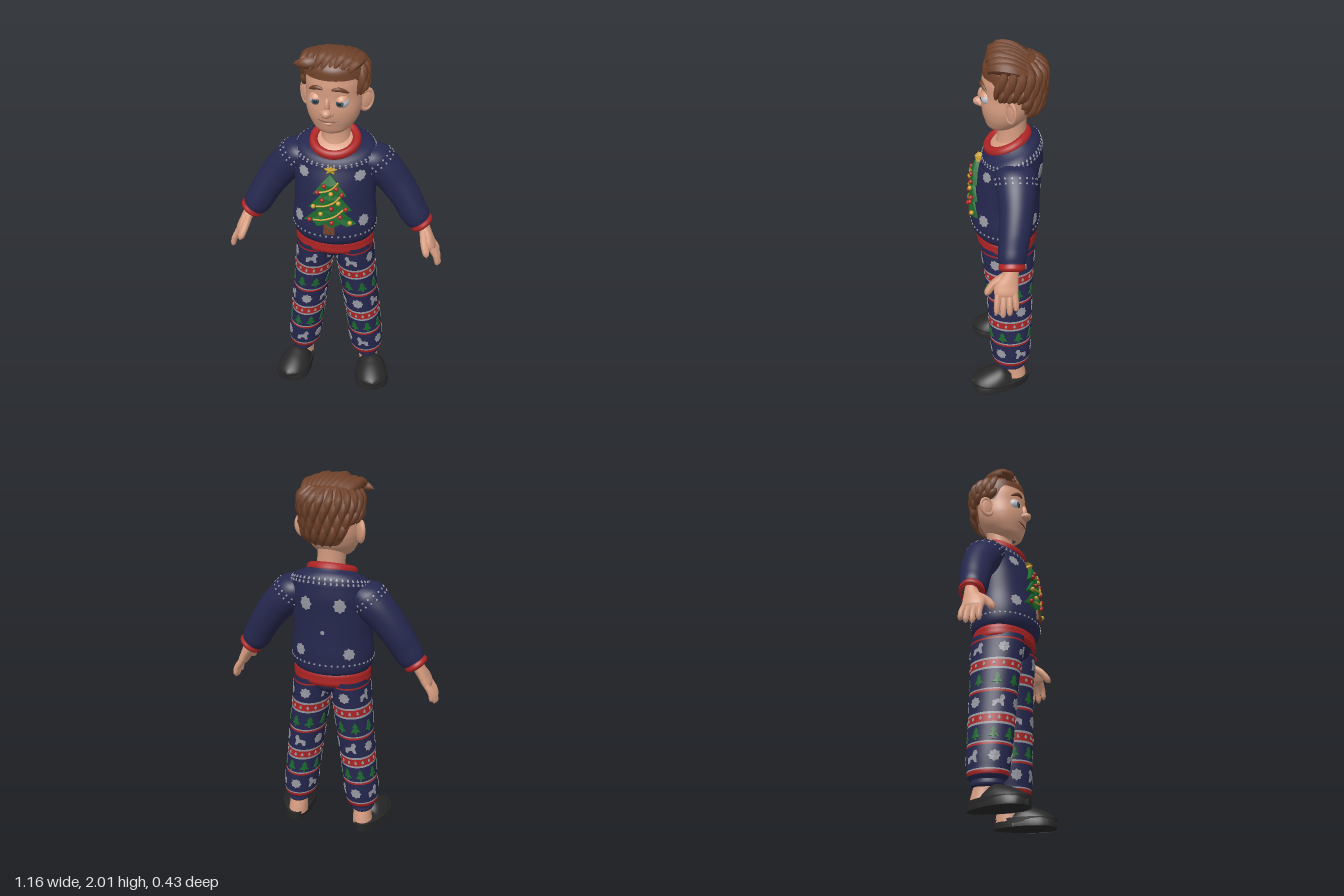
import * as THREE from 'three';
import { mergeGeometries } from 'three/addons/utils/BufferGeometryUtils.js';

const { PI, cos, sin, acos, sqrt, max } = Math;
const V = (x, y, z) => new THREE.Vector3(x, y, z);
const smooth = THREE.MathUtils.smoothstep;

const mat = (name, color, side = THREE.FrontSide) => {
  const m = new THREE.MeshStandardMaterial({ color, side });
  m.name = name;
  return m;
};

// Smooth surface through horizontal rings: [y, centreX, centreZ, radiusX, radiusZ, forwardTilt]
function surf(rows) {
  const f = new THREE.CubicInterpolant(rows.map(r => r[0]),
    rows.flatMap(r => [r[1], r[2], r[3], r[4], r[5] || 0]), 5, new Float32Array(5));
  const raw = (y, a) => {
    const [cx, cz, rx, rz, k] = f.evaluate(y);
    return V(cx + rx * cos(a), y - k * rz * sin(a), cz + rz * sin(a));
  };
  const e = 0.002;
  const normal = (y, a) => raw(y + e, a).sub(raw(y - e, a)).cross(raw(y, a + e).sub(raw(y, a - e))).normalize();
  const at = (y, a, d = 0) => raw(y, a).addScaledVector(normal(y, a), d);
  const stretch = (y, a) => raw(y, a + e).distanceTo(raw(y, a - e)) / (2 * e);
  return { at, normal, stretch, lo: rows[0][0], hi: rows[rows.length - 1][0] };
}

// Grid on a surface; the lower edge may vary with the angle
function patch(s, y0 = s.lo, y1 = s.hi, ny = 16, a0 = 0, a1 = 2 * PI, na = 40) {
  const pos = [], nor = [], idx = [];
  for (let i = 0; i <= ny; i++) for (let j = 0; j <= na; j++) {
    const a = a0 + (a1 - a0) * j / na, b = typeof y0 === 'function' ? y0(a) : y0;
    const y = b + (y1 - b) * i / ny;
    pos.push(...s.at(y, a).toArray());
    nor.push(...s.normal(y, a).toArray());
    if (i < ny && j < na) {
      const p = i * (na + 1) + j, q = p + na + 1;
      idx.push(p, q, p + 1, q, q + 1, p + 1);
    }
  }
  const g = new THREE.BufferGeometry();
  g.setAttribute('position', new THREE.Float32BufferAttribute(pos, 3));
  g.setAttribute('normal', new THREE.Float32BufferAttribute(nor, 3));
  return g.setIndex(idx);
}

// Plate wrapped onto a surface: a fan from its centre, with a rim down to the cloth
function decal(s, y, a, outline, sx, sy = sx, edge = 0.003, mid = edge) {
  const k = s.stretch(y, a), pos = [], put = (...v) => v.forEach(p => pos.push(p.x, p.y, p.z));
  const c = s.at(y, a, mid);
  const ring = d => outline.map(([u, v]) => s.at(y + v * sy, a - u * sx / k, d));
  const top = ring(edge), base = ring(0);
  outline.forEach((_, i) => {
    const j = (i + 1) % outline.length;
    put(c, top[i], top[j], top[i], base[i], top[j], base[i], base[j], top[j]);
  });
  const g = new THREE.BufferGeometry();
  g.setAttribute('position', new THREE.Float32BufferAttribute(pos, 3));
  g.computeVertexNormals();
  return g;
}

// Tapered tube through points
function taper(points, radius, n = 12, sides = 8) {
  const curve = new THREE.CatmullRomCurve3(points);
  const g = new THREE.TubeGeometry(curve, n, 1, sides), p = g.attributes.position;
  for (let i = 0; i < p.count; i++) {
    const t = Math.floor(i / (sides + 1)) / n, c = curve.getPointAt(t);
    const v = V().fromBufferAttribute(p, i).sub(c).multiplyScalar(radius(t)).add(c);
    p.setXYZ(i, v.x, v.y, v.z);
  }
  g.computeVertexNormals();
  return g;
}
const finger = r => t => r * (1 - 0.2 * t) * (t > 0.8 ? sqrt(max(0.0001, 1 - ((t - 0.8) / 0.2) ** 2)) : 1);
const lockShape = r => t => r * max(0.02, sin(PI * (0.12 + 0.88 * t)) ** 0.7);
const ball = (x, y, z, rx, ry = rx, rz = rx) => new THREE.SphereGeometry(1, 20, 14).scale(rx, ry, rz).translate(x, y, z);

const star = (n, inner) => Array.from({ length: 2 * n }, (_, i) => {
  const a = PI / 2 + PI * i / n, r = i % 2 ? inner : 1;
  return [r * cos(a), r * sin(a)];
});
const FLAKE = star(8, 0.78), DOT = star(3, 0.8), STAR = star(5, 0.5);
const TREE = [[0, 1], [-0.5, 0.1], [-1, -0.8], [-0.62, -0.7], [-0.4, -1], [-0.12, -0.75], [0.12, -1],
  [0.42, -0.72], [0.65, -0.95], [1, -0.8], [0.5, 0.1]];
const SMALLTREE = [[0, 1], [-0.5, 0.3], [-0.3, 0.2], [-0.9, -0.6], [-0.2, -0.6], [-0.2, -1], [0.2, -1],
  [0.2, -0.6], [0.9, -0.6], [0.3, 0.2], [0.5, 0.3]];
const DEER = [[-0.9, -0.9], [-0.5, -0.9], [-0.3, -0.4], [0.3, -0.4], [0.5, -0.9], [0.9, -0.9], [0.9, 0],
  [0.3, 0.2], [-0.2, 0.2], [-0.3, 0.9], [-0.7, 1], [-1, 0.5], [-0.7, 0.1]];

export function createModel() {
  const navy = mat('navy cloth', 0x26284f), red = mat('red knit', 0xae2424), green = mat('tree green', 0x1d6b30),
    silver = mat('silver grey', 0x9a9aa4), skin = mat('skin', 0xd69c80), hairMat = mat('brown hair', 0x70422a),
    black = mat('shoe black', 0x282828, THREE.DoubleSide), gold = mat('gold', 0xc9a030),
    white = mat('eye white', 0xc4c8cf), irisMat = mat('iris', 0x4a5866);
  const model = new THREE.Group();
  const group = (name, parent = model) => { const g = new THREE.Group(); g.name = name; parent.add(g); return g; };
  const add = (parent, name, geo, m) => {
    const mesh = new THREE.Mesh(Array.isArray(geo) ? mergeGeometries(geo) : geo, m);
    mesh.name = name;
    parent.add(mesh);
    return mesh;
  };
  const around = (n, fn) => Array.from({ length: n }, (_, i) => fn(2 * PI * (i + 0.5) / n, i));

  // Sweater body, hem and collar
  const torso = surf([[0.955, 0, -0.01, 0.185, 0.145], [0.985, 0, -0.005, 0.212, 0.172], [1.05, 0, -0.002, 0.223, 0.183],
    [1.18, 0, -0.01, 0.214, 0.176], [1.3, 0, -0.02, 0.215, 0.17, 0.02], [1.41, 0, -0.035, 0.215, 0.16, 0.15],
    [1.485, 0, -0.03, 0.185, 0.138, 0.35], [1.508, 0, -0.015, 0.12, 0.108, 0.42]]);
  const sweater = group('sweater');
  add(sweater, 'sweaterBody', patch(torso, torso.lo, torso.hi, 30, 0, 2 * PI, 56), navy);
  add(sweater, 'hem', patch(surf([[0.9, 0, -0.01, 0.195, 0.148], [0.912, 0, -0.01, 0.208, 0.16],
    [0.945, 0, -0.01, 0.211, 0.163], [0.975, 0, -0.01, 0.206, 0.16], [0.99, 0, -0.01, 0.19, 0.148]])), red);
  const collar = add(sweater, 'collar', new THREE.TorusGeometry(0.11, 0.024, 10, 40).rotateX(PI / 2).scale(1, 1.15, 0.98), red);
  collar.position.set(0, 1.507, -0.014);
  collar.rotation.x = 0.4;

  // Knitted flakes and dotted rows
  const side = x => acos(x / 0.218);
  const flakes = [];
  for (const x of [-1, 1]) {
    flakes.push(decal(torso, 1.38, side(x * 0.145), FLAKE, 0.035), decal(torso, 1.115, side(x * 0.168), FLAKE, 0.034));
    flakes.push(decal(torso, 1.36, -side(x * 0.09), FLAKE, 0.035), decal(torso, 1.1, -side(x * 0.13), FLAKE, 0.034));
  }
  flakes.push(decal(torso, 1.22, -PI / 2, FLAKE, 0.012));
  for (const y of [1.035, 1.45, 1.465]) flakes.push(...around(44, a => decal(torso, y, a, DOT, 0.0065)));
  add(sweater, 'sweaterFlakes', flakes, silver);

  // Raised tree with garlands, ornaments and star
  const tree = group('tree', sweater);
  add(tree, 'trunk', decal(torso, 1.085, PI / 2, [[-1, -1], [1, -1], [1, 1], [-1, 1]], 0.028, 0.03, 0.012), hairMat);
  [[1.175, 0.137, 0.078, 0.014], [1.255, 0.11, 0.075, 0.02], [1.335, 0.082, 0.07, 0.024]].forEach(([y, w, h, d], i) => {
    add(tree, 'treeTier', decal(torso, y, PI / 2, TREE, w, h, d, d + 0.01), green);
    add(tree, 'garland', taper([-0.55, -0.2, 0.2, 0.5].map((u, k) =>
      torso.at(y - h * (0.55 - 0.1 * k * k), side(u * w), d + 0.009)), () => 0.005, 16, 6), gold);
    const spots = [[-0.7, -0.62], [-0.3, -0.05], [0.1, -0.62], [0.4, -0.2], [0.72, -0.66]];
    spots.forEach(([u, v], k) => {
      const p = torso.at(y + v * h, side(u * w), d + 0.006);
      add(tree, 'ornament', ball(p.x, p.y, p.z, 0.012), (k + i) % 3 === 1 ? gold : red);
    });
  });
  add(tree, 'star', decal(torso, 1.432, PI / 2, STAR, 0.034, 0.034, 0.018, 0.034), gold);

  // Neck
  add(model, 'neck', patch(surf([[1.46, 0, -0.025, 0.09, 0.08], [1.53, 0, -0.036, 0.075, 0.074],
    [1.6, -0.004, -0.038, 0.073, 0.072], [1.67, -0.006, -0.038, 0.075, 0.075]])), skin);
  const base = add(model, 'neckBase', ball(0, 0, 0, 0.105, 0.025, 0.1), skin);
  base.position.copy(collar.position);
  base.rotation.x = 0.4;

  // Hips
  add(model, 'hips', patch(surf([[0.83, 0, -0.015, 0.03, 0.07], [0.87, 0, -0.015, 0.11, 0.125],
    [0.93, 0, -0.012, 0.198, 0.145]])), navy);

  // Arms, legs and shoes, mirrored
  const armS = surf([[0.0, 0, -0.03, 0.06, 0.06], [0.03, 0, -0.032, 0.073, 0.07], [0.08, 0.004, -0.036, 0.078, 0.075],
    [0.15, 0.014, -0.045, 0.081, 0.08], [0.27, 0.018, -0.055, 0.088, 0.088], [0.38, 0.008, -0.055, 0.096, 0.1],
    [0.46, 0, -0.05, 0.085, 0.1], [0.51, -0.01, -0.05, 0.035, 0.06]]);
  const legS = surf([[0.148, 0.186, -0.033, 0.065, 0.08], [0.165, 0.184, -0.033, 0.085, 0.1], [0.2, 0.181, -0.033, 0.091, 0.107],
    [0.4, 0.16, -0.028, 0.095, 0.118], [0.6, 0.137, -0.025, 0.099, 0.125], [0.75, 0.118, -0.02, 0.104, 0.133],
    [0.85, 0.107, -0.017, 0.105, 0.142], [0.93, 0.1, -0.014, 0.106, 0.146]]);
  const bands = [[0.148, navy], [0.168, red], [0.188, silver], [0.195, navy], [0.313, red], [0.324, silver], [0.332, navy],
    [0.42, silver], [0.432, red], [0.472, silver], [0.484, navy], [0.594, red], [0.605, silver], [0.613, navy],
    [0.72, silver], [0.732, red], [0.772, silver], [0.784, navy], [0.893, red], [0.903, navy], [0.93]];
  const shoeTop = surf([[-0.06, 0, 0, 0.078, 0.085], [-0.015, 0, 0, 0.088, 0.119], [0.05, 0, 0, 0.097, 0.108],
    [0.11, 0, 0, 0.088, 0.084], [0.15, 0, 0, 0.058, 0.06], [0.168, 0, 0, 0.015, 0.045]]);

  for (const m of [1, -1]) {
    const half = group(m > 0 ? 'leftLimbs' : 'rightLimbs');
    half.scale.x = m;

    const arm = group('arm', half);
    arm.position.set(0.455, 1.05, 0);
    arm.rotation.z = 0.648;
    add(arm, 'sleeve', patch(armS, 0, 0.51, 24), navy);
    add(arm, 'sleeveDots', [0.4, 0.425].flatMap(y => around(18, a => decal(armS, y, a, DOT, 0.006))), silver);
    add(arm, 'cuff', patch(surf([[-0.03, 0, -0.03, 0.045, 0.045], [-0.024, 0, -0.03, 0.059, 0.06],
      [0.01, 0, -0.03, 0.063, 0.063], [0.03, 0, -0.03, 0.064, 0.063], [0.04, 0, -0.03, 0.05, 0.05]])), red);

    const hand = group('hand', half);
    hand.position.set(0.468, 1.035, 0);
    hand.rotation.z = 0.46;
    add(hand, 'palm', patch(surf([[-0.145, 0, 0, 0.012, 0.045], [-0.13, 0, 0, 0.023, 0.056], [-0.08, 0, -0.002, 0.029, 0.059],
      [-0.03, 0, -0.02, 0.031, 0.043], [0, 0, -0.028, 0.032, 0.037], [0.04, 0, -0.03, 0.032, 0.037]])), skin);
    [[-0.044, 0.085], [-0.016, 0.11], [0.013, 0.12], [0.041, 0.102]].forEach(([z, len]) => add(hand, 'finger',
      taper([V(0, -0.11, z * 0.95), V(0.006, -0.13 - len * 0.5, z * 1.1), V(-0.008, -0.13 - len, z * 1.15)], finger(0.0175)), skin));
    add(hand, 'thumb', taper([V(-0.005, -0.03, 0), V(-0.015, -0.075, 0.062), V(-0.022, -0.135, 0.103)], finger(0.023)), skin);

    // Trouser leg with printed bands and motifs
    const leg = group('leg', half);
    for (let i = 0; i < bands.length - 1; i++) {
      const [y, m2] = bands[i], y1 = bands[i + 1][0];
      add(leg, 'trouserBand', patch(legS, y, y1, Math.ceil((y1 - y) / 0.02)), m2);
    }
    const prints = [0.845, 0.542, 0.255].flatMap((y, r) => around(6, (a, i) => (i + r) % 2
      ? decal(legS, y, a, DEER, 0.033, 0.033) : decal(legS, y, a, FLAKE, 0.031)));
    for (const y of [0.752, 0.452]) prints.push(...around(16, a => decal(legS, y, a, DOT, 0.008, 0.012)));
    add(leg, 'snowPrints', prints, silver);
    add(leg, 'treePrints', [0.663, 0.373].flatMap(y => around(8, a => decal(legS, y, a, SMALLTREE, 0.03, 0.034))), green);
    add(leg, 'ankleCuff', patch(surf([[0.112, 0.19, -0.035, 0.05, 0.06], [0.12, 0.19, -0.035, 0.06, 0.078],
      [0.145, 0.188, -0.034, 0.064, 0.082], [0.17, 0.186, -0.033, 0.06, 0.08]])), navy);
    add(leg, 'ankle', patch(surf([[0.03, 0.195, -0.055, 0.056, 0.068], [0.07, 0.192, -0.055, 0.052, 0.06],
      [0.13, 0.19, -0.045, 0.048, 0.055]])), skin);

    // Slipper
    const shoe = group('slipper', half);
    shoe.position.set(0.222, 0, 0.03);
    shoe.rotation.y = 0.18;
    const sole = new THREE.CylinderGeometry(1, 0.97, 0.046, 40).scale(0.09, 1, 0.17).translate(0, 0.023, 0);
    const p = sole.attributes.position;
    for (let i = 0; i < p.count; i++) p.setX(i, p.getX(i) * (1 + 1.3 * p.getZ(i)));
    sole.computeVertexNormals();
    add(shoe, 'sole', sole, black);
    add(shoe, 'slipperUpper', patch(shoeTop, shoeTop.lo, shoeTop.hi, 18, PI, 2 * PI, 24), black).rotation.x = PI / 2;
  }

  // Head and face
  const head = group('head');
  head.position.set(-0.008, 0, 0);
  head.rotation.y = -0.1;
  const face = surf([[1.574, 0, 0.035, 0.025, 0.025], [1.588, 0, 0.022, 0.068, 0.06], [1.63, 0, 0.0, 0.112, 0.1],
    [1.7, 0, -0.015, 0.139, 0.13], [1.78, 0, -0.025, 0.14, 0.136], [1.86, 0, -0.03, 0.14, 0.138],
    [1.92, 0, -0.03, 0.115, 0.115], [1.955, 0, -0.03, 0.04, 0.04]]);
  add(head, 'face', patch(face, face.lo, face.hi, 30), skin);
  add(head, 'chin', ball(0, 1.607, 0.06, 0.045, 0.028, 0.032), skin);
  add(head, 'nose', [ball(0, 1.713, 0.126, 0.026, 0.023, 0.03), ball(0, 1.748, 0.112, 0.015, 0.04, 0.02),
    ball(0.02, 1.708, 0.115, 0.014, 0.014, 0.016), ball(-0.02, 1.708, 0.115, 0.014, 0.014, 0.016)], skin);
  add(head, 'mouth', taper([-0.05, -0.025, 0, 0.025, 0.05].map(x =>
    face.at(1.66 + 2.5 * x * x, acos(x / 0.128), 0)), t => 0.0035 * (0.3 + sin(PI * t)), 16, 6), hairMat);
  add(head, 'lowerLip', ball(0, 1.648, 0.096, 0.028, 0.009, 0.014), skin);
  for (const m of [1, -1]) {
    const f = group('faceSide', head);
    f.scale.x = m;
    add(f, 'eye', ball(0.063, 1.766, 0.076, 0.037, 0.034, 0.034), white);
    add(f, 'iris', ball(0.061, 1.764, 0.106, 0.019, 0.019, 0.006), irisMat);
    add(f, 'pupil', ball(0.06, 1.764, 0.11, 0.01, 0.01, 0.004), black);
    const lid = new THREE.SphereGeometry(0.039, 24, 8, 0, 2 * PI, 0, 1.05).rotateX(0.3);
    add(f, 'eyelid', lid.translate(0.063, 1.766, 0.076), skin);
    add(f, 'eyebrow', taper([V(0.022, 1.832, 0.11), V(0.058, 1.836, 0.104), V(0.102, 1.812, 0.076)], lockShape(0.011)), hairMat);
    const ear = group('ear', f);
    ear.position.set(0.158, 1.733, -0.045);
    ear.rotation.set(0, 0.75, -0.15);
    add(ear, 'earShell', ball(0, 0, -0.004, 0.042, 0.058, 0.015), skin);
    add(ear, 'earRim', new THREE.TorusGeometry(0.036, 0.009, 8, 28).scale(0.95, 1.4, 1), skin);
  }

  // Hair cap with an uneven hairline
  const hair = group('hair', head);
  const cap = surf([[1.66, 0, -0.04, 0.122, 0.115], [1.72, 0, -0.04, 0.143, 0.142], [1.8, 0, -0.045, 0.15, 0.15],
    [1.88, 0, -0.045, 0.155, 0.153], [1.935, 0, -0.042, 0.135, 0.135], [1.962, 0, -0.037, 0.09, 0.09], [1.975, 0, -0.035, 0.01, 0.01]]);
  const hairline = a => 1.785 + 0.09 * smooth(sin(a), 0.25, 0.6) - 0.11 * smooth(-sin(a), 0.4, 0.85);
  add(hair, 'hairCap', patch(cap, hairline, cap.hi, 20, 0, 2 * PI, 48), hairMat);

  // Locks falling over the back and sides
  const locks = [];
  [1.955, 1.91, 1.85, 1.79].forEach((y0, r) => {
    for (let i = 0; i < 13; i++) {
      const a = PI * 0.9 + PI * 1.2 * (i + 0.5 * (r % 2)) / 12.5;
      const y1 = max(y0 - 0.14, hairline(a) - 0.008);
      if (y0 - y1 < 0.04) continue;
      locks.push(taper([0, 0.35, 0.7, 1].map((t, k) =>
        cap.at(y0 + (y1 - y0) * t, a + 0.22 * t, [-0.004, 0.002, 0.003, 0][k])), lockShape(0.021), 10, 6));
    }
  });
  // Swept quiff over the top and forehead
  for (let i = 0; i < 9; i++) {
    const x = 0.125 - 0.03 * i, w = 0.008 * (i % 3), drop = 1.6 * x * x;
    locks.push(taper([V(x * 0.8 + 0.02, 1.945 - drop, -0.12), V(x, 1.972 - drop, -0.03), V(x - 0.015, 1.962 - drop + w, 0.05),
      V(x - 0.04, 1.91 - drop * 0.6 + w, 0.1 - 2.2 * x * x)], lockShape(0.032), 12, 7));
    locks.push(taper([V(x * 0.7 + 0.03, 1.96 - drop, -0.08), V(x * 0.8, 1.978 - drop, 0.0), V(x - 0.04, 1.948 - drop * 0.8, 0.085)],
      lockShape(0.026), 10, 7));
  }
  locks.push(taper([V(-0.04, 1.95, 0.03), V(-0.11, 1.94, 0.07), V(-0.185, 1.925, 0.06)], lockShape(0.03), 10, 7));
  add(hair, 'hairLocks', locks, hairMat);
  return model;
}
